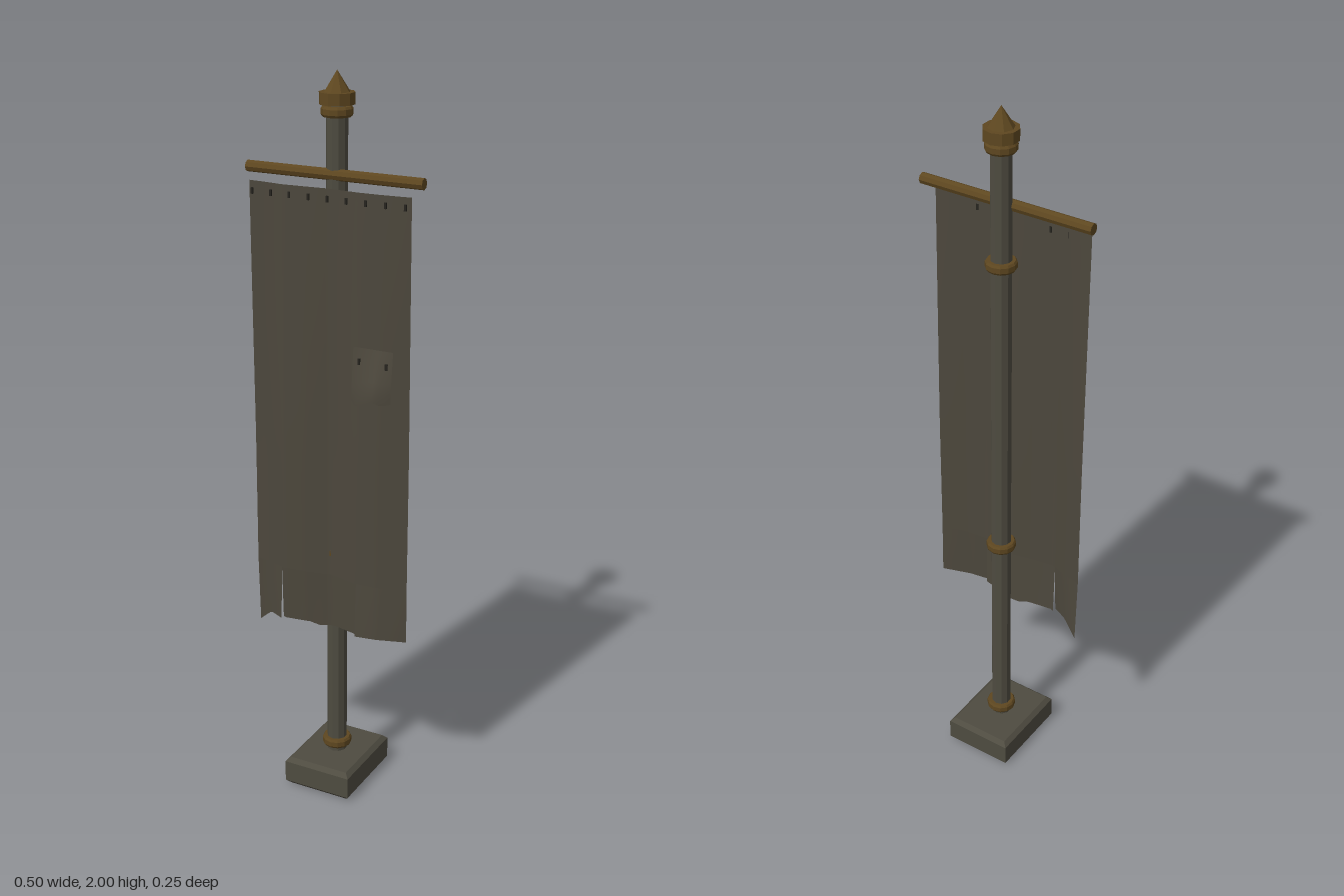
import * as THREE from 'three';

function material(name, color, extra = {}) {
  const m = new THREE.MeshStandardMaterial({ color, ...extra });
  m.name = name;
  return m;
}

// Linear interpolation through [x, value] points
function sample(points, x) {
  for (let i = 1; i < points.length; i++) {
    const [x0, v0] = points[i - 1], [x1, v1] = points[i];
    if (x <= x1) return v0 + (v1 - v0) * Math.max(0, (x - x0) / (x1 - x0));
  }
  return points[points.length - 1][1];
}

// Depth of the cloth folds across the width
const FOLDS = [[-0.23, 0.037], [-0.19, 0.045], [-0.13, 0.064], [-0.07, 0.055], [0, 0.04],
  [0.05, 0.052], [0.09, 0.061], [0.15, 0.056], [0.19, 0.046], [0.23, 0.036]];
// Height of the torn lower hem
const HEM = [[-0.23, 0.455], [-0.185, 0.495], [-0.06, 0.495], [-0.03, 0.487], [0.02, 0.495], [0.23, 0.495]];
const TOP = 1.715, SLIT = 0.65;

// Folds are shallow under the bar and deepen towards the hem
function clothZ(x, y) {
  const amount = Math.min(1, 0.35 + 0.65 * (TOP - y) / 0.7);
  return 0.05 + (sample(FOLDS, x) - 0.05) * amount;
}

export function createModel() {
  const model = new THREE.Group();
  model.name = 'bannerStand';

  const stone = material('weathered grey', 0x4e4b40, { flatShading: true });
  const bronze = material('aged bronze', 0x5e4720, { flatShading: true });
  const cloth = material('faded cloth', 0x4c473c, { side: THREE.DoubleSide });
  const iron = material('dark iron', 0x26241f);

  function add(name, geometry, mat, x = 0, y = 0, z = 0) {
    const mesh = new THREE.Mesh(geometry, mat);
    mesh.name = name;
    mesh.position.set(x, y, z);
    model.add(mesh);
    return mesh;
  }

  // Grid sheet whose points are placed by shape(u, v), v running downwards
  function sheet(name, columns, rows, shape) {
    const geometry = new THREE.PlaneGeometry(1, 1, columns, rows);
    const p = geometry.attributes.position;
    for (let i = 0; i < p.count; i++) {
      p.setXYZ(i, ...shape(p.getX(i) + 0.5, 0.5 - p.getY(i)));
    }
    geometry.computeVertexNormals();
    return add(name, geometry, cloth);
  }

  // Chamfered base block
  const b = 0.012, w = 0.1 - b, d = 0.125 - b;
  const outline = new THREE.Shape([[-w, -d], [w, -d], [w, d], [-w, d]].map(p => new THREE.Vector2(...p)));
  const base = new THREE.ExtrudeGeometry(outline, {
    depth: 0.085 - 2 * b, bevelEnabled: true, bevelSize: b, bevelThickness: b, bevelSegments: 1,
  });
  base.rotateX(-Math.PI / 2);
  add('base', base, stone, 0, b, 0);

  // Pole with its collars
  add('pole', new THREE.CylinderGeometry(0.028, 0.028, 1.84, 10), stone, 0, 0.99, 0);
  for (const y of [0.112, 0.713, 1.587, 1.9]) {
    const collar = new THREE.LatheGeometry([[0.026, -0.013], [0.037, -0.013], [0.041, -0.007],
      [0.041, 0.007], [0.037, 0.013], [0.026, 0.013]].map(p => new THREE.Vector2(...p)), 12);
    add('collar', collar, bronze, 0, y, 0);
  }

  // Finial
  add('finialCollar', new THREE.CylinderGeometry(0.046, 0.046, 0.03, 10), bronze, 0, 1.932, 0);
  add('finialTip', new THREE.ConeGeometry(0.034, 0.053, 8), bronze, 0, 1.9735, 0);

  // Crossbar
  const bar = new THREE.CylinderGeometry(0.015, 0.015, 0.5, 8);
  bar.rotateZ(Math.PI / 2);
  add('crossbar', bar, bronze, 0, 1.745, 0.018);

  // Main cloth above the slits
  sheet('bannerCloth', 46, 16, (u, v) => {
    const x = -0.23 + 0.46 * u, y = TOP + (SLIT - TOP) * v;
    return [x, y, clothZ(x, y)];
  });

  // Three torn tails, each kicked out or back a little at the hem
  for (const [x0, x1, kickLeft, kickRight] of [[-0.23, -0.14, -0.008, 0.007],
    [-0.14, 0.09, -0.006, -0.004], [0.09, 0.23, 0.008, -0.002]]) {
    sheet('bannerTail', Math.round((x1 - x0) * 100), 4, (u, v) => {
      const x = x0 + (x1 - x0) * u, y = SLIT + (sample(HEM, x) - SLIT) * v;
      return [x, y, clothZ(x, y) + v * (kickLeft + (kickRight - kickLeft) * u)];
    });
  }

  // Loose patch, pinned at the top and curling forward below
  const curl = [[0, 0.01], [0.15, 0.018], [0.65, 0.032], [1, 0.012]];
  const patchHem = [[0, 1.178], [0.1, 1.165], [0.6, 1.19], [0.8, 1.18], [1, 1.185]];
  sheet('patch', 8, 5, (u, v) => {
    const x = 0.08 + 0.113 * u, y = 1.32 + (sample(patchHem, u) - 1.32) * v;
    return [x, y, 0.062 + sample(curl, u) * Math.min(1, v * 1.25)];
  });

  // Nails along the top hem and on the patch
  const nail = new THREE.BoxGeometry(0.006, 0.016, 0.005);
  for (let i = -4; i <= 4; i++) add('hemNail', nail, iron, i * 0.0542, 1.69, 0.054);
  add('patchNail', nail, iron, 0.1, 1.285, 0.07);
  add('patchNail', nail, iron, 0.183, 1.285, 0.08);

  return model;
}
